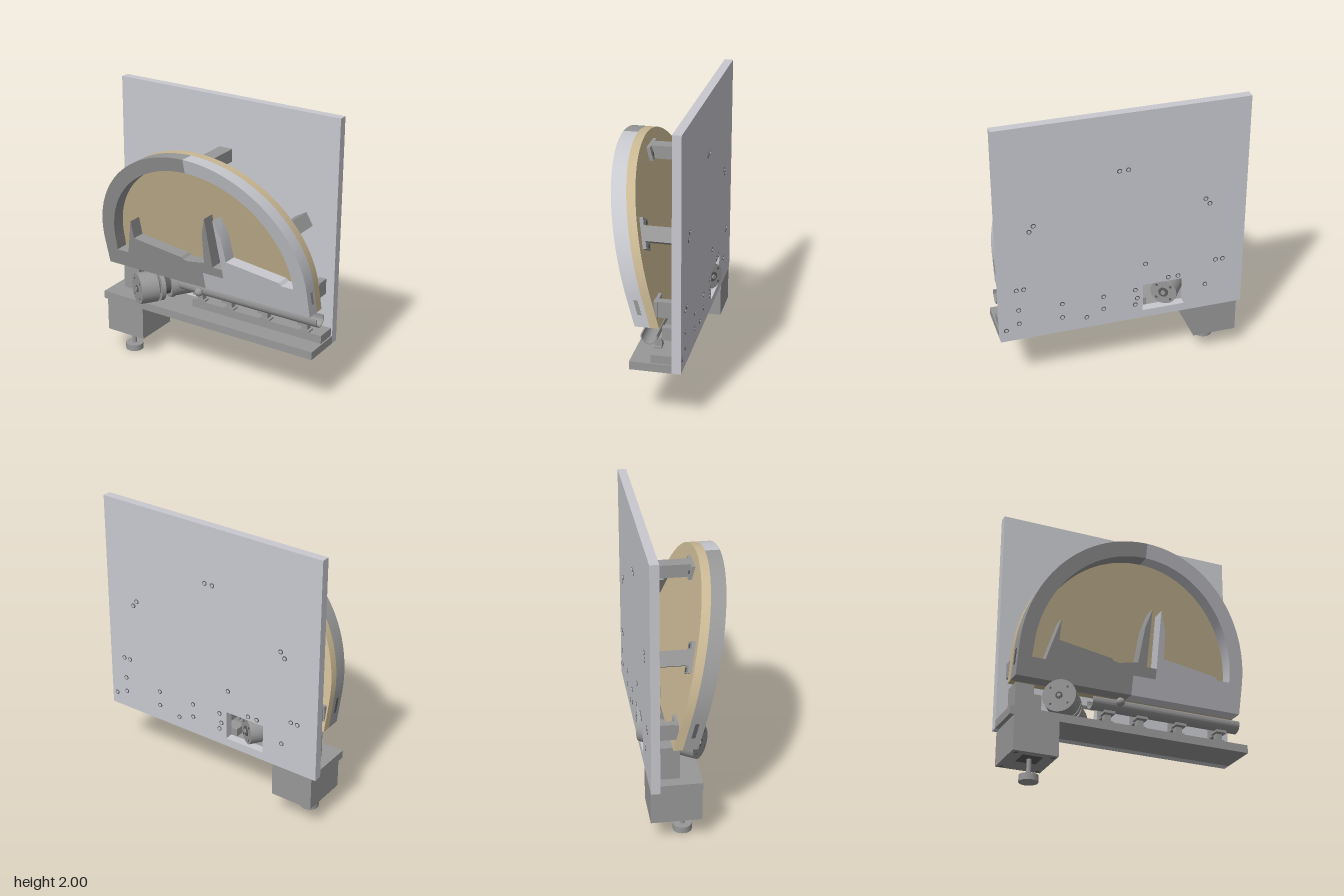
import * as THREE from 'three';
import { toCreasedNormals } from 'three/addons/utils/BufferGeometryUtils.js';

const material = (name, color) => Object.assign(new THREE.MeshStandardMaterial({ color }), { name });

export function createModel() {
  const model = new THREE.Group();
  const light = material('light grey', 0xc8c9cf);
  const grey = material('mid grey', 0x989898);
  const tan = material('tan board', 0xcab894);
  const dark = material('dark grey', 0x5c5c5e);

  const add = (name, geo, mat, x = 0, y = 0, z = 0, parent = model) => {
    const m = new THREE.Mesh(geo, mat);
    m.name = name;
    m.position.set(x, y, z);
    parent.add(m);
    return m;
  };
  // box given by its limits on each axis
  const box = (name, mat, x0, x1, y0, y1, z0, z1) =>
    add(name, new THREE.BoxGeometry(x1 - x0, y1 - y0, z1 - z0), mat, (x0 + x1) / 2, (y0 + y1) / 2, (z0 + z1) / 2);
  // lean a geometry forward by sliding z in proportion to height
  const LEAN = 0.265, BOTTOM = 0.69, SPRING = 0.89;
  const lean = (geo) => {
    const p = geo.attributes.position;
    for (let i = 0; i < p.count; i++) p.setZ(i, p.getZ(i) + LEAN * (p.getY(i) - BOTTOM));
    return toCreasedNormals(geo, 0.5);
  };
  const arc = (r, from, to, n = 32) => Array.from({ length: n + 1 }, (_, i) => {
    const a = from + (to - from) * i / n;
    return [r * Math.cos(a), SPRING + r * Math.sin(a)];
  });
  const slab = (points, z, depth) => {
    const shape = new THREE.Shape(points.map(([x, y]) => new THREE.Vector2(x, y)));
    const geo = new THREE.ExtrudeGeometry(shape, { depth, bevelEnabled: false });
    return lean(geo.translate(0, 0, z));
  };

  // back panel with a window for the motor
  const panel = new THREE.Shape();
  panel.moveTo(-0.86, 0.4).lineTo(0.86, 0.4).lineTo(0.86, 2).lineTo(-0.86, 2).closePath();
  const win = new THREE.Path();
  win.moveTo(-0.44, 0.46).lineTo(-0.44, 0.67).lineTo(-0.14, 0.67).lineTo(-0.14, 0.46).closePath();
  panel.holes.push(win);
  add('backPanel', new THREE.ExtrudeGeometry(panel, { depth: 0.06, bevelEnabled: false }), light, 0, 0, -0.27);

  // bolt holes on the rear of the panel
  const bolts = [[-0.03, 1.59], [0.03, 1.59], [0.61, 1.28], [0.64, 1.24], [-0.57, 1.28], [-0.6, 1.24],
    [0.74, 0.8], [0.69, 0.8], [-0.66, 0.78], [-0.71, 0.78], [0.82, 0.49], [0.73, 0.64], [0.73, 0.53],
    [0.43, 0.63], [0.43, 0.52], [0.26, 0.485], [0.14, 0.63], [0.14, 0.53], [-0.085, 0.64], [-0.085, 0.52],
    [-0.155, 0.84], [-0.1, 0.57], [-0.32, 0.7], [-0.39, 0.7], [-0.59, 0.59]];
  for (const [x, y] of bolts) {
    add('boltRim', new THREE.CylinderGeometry(0.017, 0.017, 0.004, 16).rotateX(Math.PI / 2), dark, x, y, -0.271);
    add('boltCore', new THREE.CylinderGeometry(0.011, 0.011, 0.006, 16).rotateX(Math.PI / 2), light, x, y, -0.272);
  }

  // base shelf, box below it and levelling foot
  box('baseShelf', grey, -0.86, 0.86, 0.4, 0.457, -0.21, 0.07);
  box('baseBox', grey, -0.83, -0.52, 0.16, 0.4, -0.27, 0.07);
  box('footPlate', dark, -0.75, -0.61, 0.154, 0.16, -0.11, 0.03);
  add('footStem', new THREE.CylinderGeometry(0.016, 0.016, 0.12, 20), grey, -0.68, 0.1, -0.04);
  add('footPad', new THREE.CylinderGeometry(0.064, 0.064, 0.045, 32), grey, -0.68, 0.0225, -0.04);
  for (const x of [-0.8, -0.55]) for (const z of [-0.24, 0.04])
    add('baseScrew', new THREE.CylinderGeometry(0.014, 0.014, 0.006, 16), dark, x, 0.159, z);

  // leaning arched board behind the frame
  add('archBoard', slab([[-0.82, BOTTOM], [0.82, BOTTOM], ...arc(0.82, 0, Math.PI, 64)], -0.12, 0.06), tan);

  // frame halves with ramps and spikes along the lower edge
  const H = Math.PI / 2;
  add('frameDarkHalf', slab([[0, BOTTOM], [0, 0.82], [0.165, 0.82], [0.165, 0.89], [0.09, 0.89], [0.09, 1.28],
    [0.05, 1.15], [0.025, 0.91], [-0.11, 0.885], [-0.15, 0.89], [-0.165, 0.905], [-0.55, 0.96], [-0.55, 1.1],
    [-0.63, 0.82], [-0.725, 0.82], ...arc(0.72, Math.PI, H), ...arc(0.82, H, Math.PI), [-0.82, BOTTOM]],
  -0.06, 0.1), grey);
  add('frameLightHalf', slab([[0, BOTTOM], [0.82, BOTTOM], ...arc(0.82, 0, H), ...arc(0.72, H, 0),
    [0.63, 0.89], [0.61, 0.91], [0.21, 0.965], [0.2, 1.15], [0.155, 1.28], [0.165, 0.89], [0.165, 0.82],
    [0, 0.82]], -0.06, 0.1), light);
  for (const s of [-1, 1])
    add('rimSlot', lean(new THREE.BoxGeometry(0.006, 0.1, 0.025).translate(s * 0.82, 0.825, -0.015)), s < 0 ? dark : grey);

  // three arms holding the board, with end flanges
  for (const a of [-Math.PI / 3, 0, Math.PI / 3]) {
    const x = -0.715 * Math.sin(a), y = SPRING + 0.01 + 0.695 * Math.cos(a);
    const end = -0.12 + LEAN * (y - BOTTOM);
    const arm = add('supportArm', new THREE.BoxGeometry(0.1, 0.09, end + 0.21), grey, x, y, (end - 0.21) / 2);
    arm.rotation.z = a;
    add('armFlange', lean(new THREE.BoxGeometry(0.2, 0.09, 0.025).rotateZ(a).translate(x, y, -0.132)), grey);
    for (const s of [-1, 1])
      add('flangeBolt', lean(new THREE.CylinderGeometry(0.014, 0.014, 0.008, 12).rotateX(H)
        .translate(s * 0.075, 0, 0).rotateZ(a).translate(x, y, -0.146)), dark);
  }
  // lower brackets
  for (const s of [-1, 1]) {
    const b = (name, x0, x1, y0, y1, z0, z1) =>
      box(name, grey, Math.min(s * x0, s * x1), Math.max(s * x0, s * x1), y0, y1, z0, z1);
    b('lowerBracket', 0.75, 0.8, 0.76, 0.87, -0.21, -0.08);
    b('lowerBracketFlange', 0.67, 0.81, 0.76, 0.87, -0.105, -0.083);
  }
  add('catchPin', new THREE.CylinderGeometry(0.01, 0.01, 0.16, 12), grey, -0.18, 0.82, -0.145);
  box('catchBlock', grey, -0.21, -0.15, 0.74, 0.85, -0.21, -0.12);
  box('motorBracket', grey, -0.78, -0.65, 0.457, 0.69, -0.21, -0.07);
  box('motorBracketArm', grey, -0.65, -0.56, 0.52, 0.67, -0.21, -0.17);

  // motor and wheel on one slanted axis, running back through the window
  const motor = new THREE.Group();
  motor.name = 'motorAssembly';
  motor.position.set(-0.54, 0.57, 0.1);
  motor.rotation.y = -0.61;
  model.add(motor);
  const drum = (name, r, t0, t1, mat = grey) =>
    add(name, new THREE.CylinderGeometry(r, r, t1 - t0, 40).rotateX(H), mat, 0, 0, -(t0 + t1) / 2, motor);
  drum('wheel', 0.113, 0, 0.13);
  drum('wheelHub', 0.024, -0.005, 0, dark);
  drum('hubCap', 0.012, -0.01, 0);
  drum('axle', 0.07, 0.13, 0.24, dark);
  drum('wheelRing', 0.11, 0.15, 0.18);
  drum('motorFlange', 0.1, 0.23, 0.26);
  drum('motorBody', 0.093, 0.26, 0.43);
  drum('motorBoss', 0.035, 0.43, 0.436, dark);
  drum('motorShaft', 0.016, 0.43, 0.445);
  for (let i = 0; i < 4; i++) {
    const a = H * i + H / 2, c = Math.cos(a), s = Math.sin(a);
    add('wheelScrew', new THREE.CylinderGeometry(0.007, 0.007, 0.006, 12).rotateX(H), dark, 0.08 * c, 0.08 * s, 0, motor);
    add('motorScrew', new THREE.CylinderGeometry(0.009, 0.009, 0.006, 12).rotateX(H), dark, 0.07 * c, 0.07 * s, -0.43, motor);
  }

  // ball gutter on posts
  box('railPlinth', grey, -0.185, 0.85, 0.457, 0.515, -0.21, -0.07);
  const gutter = new THREE.Shape();
  gutter.absarc(0, 0, 0.055, Math.PI - 0.35, 2 * Math.PI + 0.35, false);
  gutter.absarc(0, 0, 0.047, 2 * Math.PI + 0.35, Math.PI - 0.35, true);
  const rail = new THREE.ExtrudeGeometry(gutter, { depth: 1.1, bevelEnabled: false, curveSegments: 24 });
  add('ballGutter', toCreasedNormals(rail.rotateY(H), 0.5), grey, -0.255, 0.64, -0.06);
  add('ball', new THREE.SphereGeometry(0.03, 24, 16), grey, -0.07, 0.635, 0.02);
  for (const x of [-0.12, 0.12, 0.41, 0.72]) {
    box('postFoot', grey, x - 0.04, x + 0.04, 0.515, 0.527, -0.12, -0.07);
    box('postWeb', grey, x - 0.022, x + 0.022, 0.527, 0.57, -0.12, -0.075);
    box('postHead', grey, x - 0.04, x + 0.04, 0.57, 0.59, -0.12, -0.04);
    box('postTie', grey, x - 0.02, x + 0.02, 0.57, 0.66, -0.21, -0.12);
  }
  return model;
}
